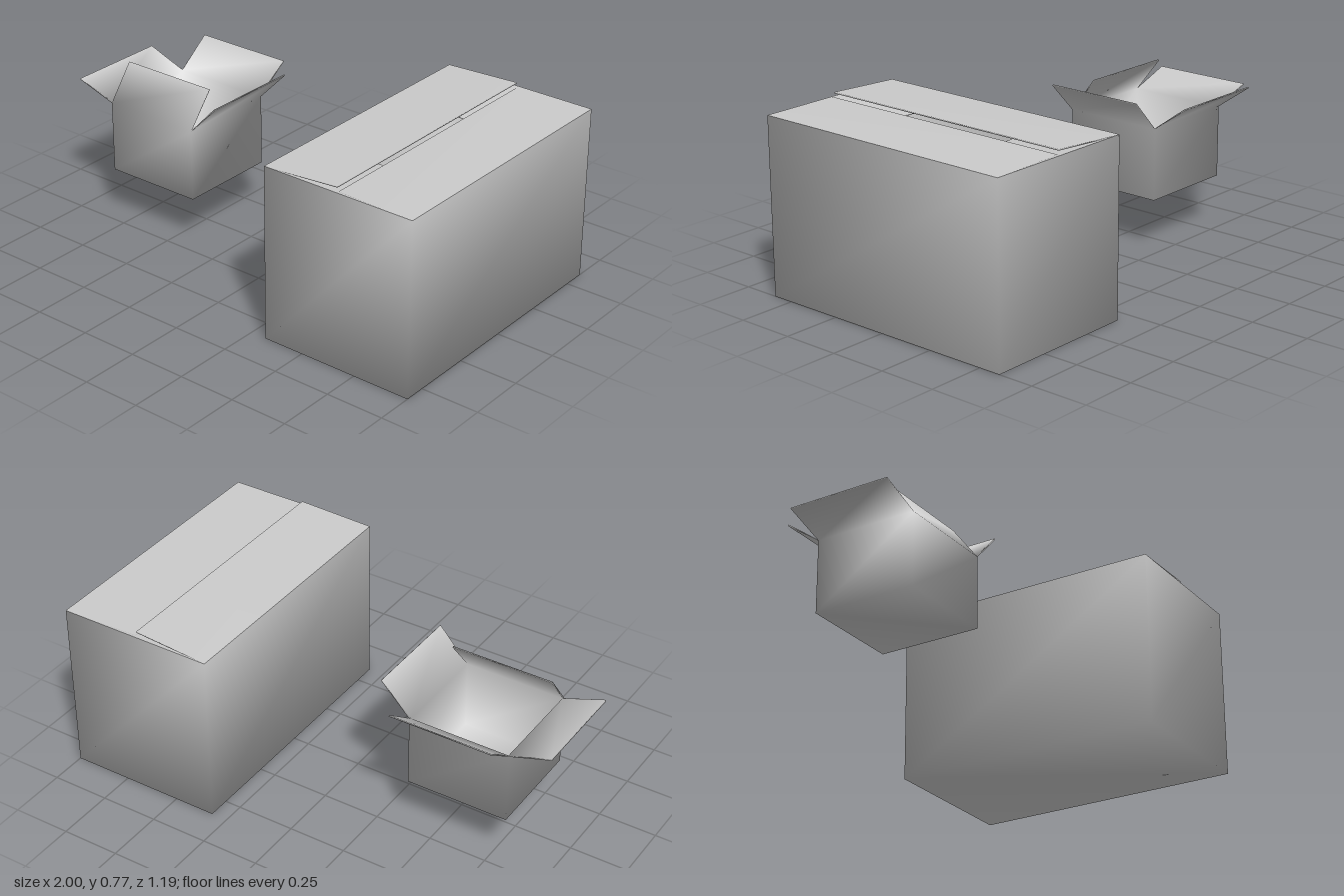
import * as THREE from 'three';

const material = new THREE.MeshStandardMaterial({ color: 0xcccccc, side: THREE.DoubleSide });

// Collects shared vertices and quads, so normals run smoothly across folds
class Sheet {
  constructor() { this.points = []; this.index = []; }
  add(v) { return this.points.push(v) - 1; }
  quad(a, b, c, d) { this.index.push(a, b, c, a, c, d); }
  mesh(name) {
    const geometry = new THREE.BufferGeometry().setFromPoints(this.points);
    geometry.setIndex(this.index);
    geometry.computeVertexNormals();
    const mesh = new THREE.Mesh(geometry, material);
    mesh.name = name;
    return mesh;
  }
}

// Outward direction of the front, left (+x), back and right walls
const outward = [[0, 1], [1, 0], [0, -1], [-1, 0]].map(([x, z]) => new THREE.Vector3(x, 0, z));
const sideNames = ['front', 'left', 'back', 'right'];

// Four corners of a level ring, running front, left, back, right
function ring(w, d, y) {
  return [[-1, 1], [1, 1], [1, -1], [-1, -1]].map(([x, z]) => new THREE.Vector3(x * w / 2, y, z * d / 2));
}

// A flap hinged on an outer and an inner edge; fold = [out, up] to its tip
function addFlap(sheet, outer, inner, side, fold, thickness, trim) {
  const [o0, o1] = outer, [i0, i1] = inner;
  const [out, up] = fold, length = Math.hypot(out, up);
  const reach = outward[side].clone().multiplyScalar(out).setY(up);
  const inset = outward[side].clone().multiplyScalar(-up * thickness / length).setY(out * thickness / length);
  const along = sheet.points[o1].clone().sub(sheet.points[o0]).normalize().multiplyScalar(trim);
  const tip0 = sheet.points[o0].clone().add(reach).add(along);
  const tip1 = sheet.points[o1].clone().add(reach).sub(along);
  const p0 = sheet.add(tip0), p1 = sheet.add(tip1);
  const q0 = sheet.add(tip0.clone().add(inset)), q1 = sheet.add(tip1.clone().add(inset));
  sheet.quad(o0, o1, p1, p0);
  sheet.quad(i1, i0, q0, q1);
  sheet.quad(p0, p1, q1, q0);
  sheet.quad(o1, i1, q1, p1);
  sheet.quad(i0, o0, p0, q0);
}

// Carton with thin walls; flaps run on from the walls or are creased parts
function carton({ name, w, h, d, thickness: t, folds, creased }) {
  const group = new THREE.Group();
  group.name = name;
  const body = new Sheet();
  const addRing = (...size) => ring(...size).map(v => body.add(v));
  const bottom = addRing(w, d, 0);
  const top = addRing(w, d, h);
  const floor = addRing(w - 2 * t, d - 2 * t, t);
  const lip = addRing(w - 2 * t, d - 2 * t, creased ? h - t : h);
  body.quad(bottom[3], bottom[2], bottom[1], bottom[0]);
  body.quad(floor[0], floor[1], floor[2], floor[3]);

  folds.forEach((fold, k) => {
    const n = (k + 1) % 4;
    body.quad(bottom[k], bottom[n], top[n], top[k]);
    body.quad(floor[n], floor[k], lip[k], lip[n]);
    if (creased) {
      body.quad(top[k], top[n], lip[n], lip[k]);
      const flap = new Sheet();
      const copy = i => flap.add(body.points[i].clone());
      addFlap(flap, [copy(top[k]), copy(top[n])], [copy(lip[k]), copy(lip[n])], k, fold, t, 0.012);
      group.add(flap.mesh(sideNames[k] + 'Flap'));
    } else {
      addFlap(body, [top[k], top[n]], [lip[k], lip[n]], k, fold, t, 0);
    }
  });
  group.add(body.mesh(creased ? 'cartonBody' : 'cartonBodyWithFlaps'));
  return group;
}

export function createModel() {
  const model = new THREE.Group();
  model.name = 'cardboardBoxes';

  // Large closed box, one lid flap resting slightly raised
  const closed = carton({
    name: 'closedBox', w: 0.68, h: 0.746, d: 1.187, thickness: 0.006, creased: true,
    folds: [[-0.33, -0.03], [-0.338, 0.001], [-0.33, -0.03], [-0.335, 0.02]],
  });
  closed.position.set(0.66, 0, -0.002);

  // Small open box, raised, flaps spread at different angles
  const open = carton({
    name: 'openBox', w: 0.443, h: 0.31, d: 0.443, thickness: 0.006, creased: false,
    folds: [[-0.115, 0.15], [0.13, 0.133], [0.152, 0.108], [0.179, 0.057]],
  });
  open.position.set(-0.6, 0.222, -0.004);

  model.add(closed, open);
  return model;
}
